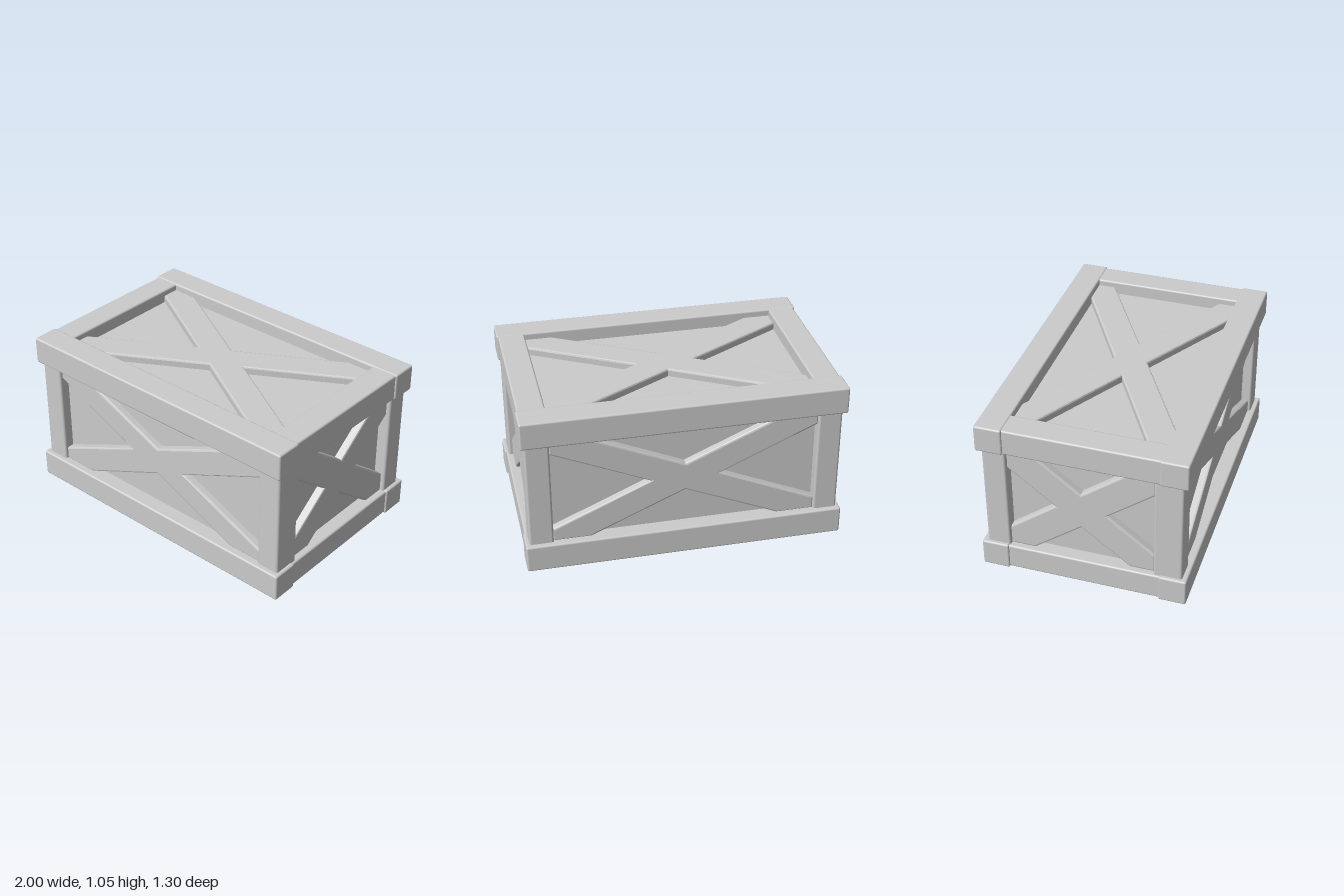
import * as THREE from 'three';
import { RoundedBoxGeometry } from 'three/addons/geometries/RoundedBoxGeometry.js';

const material = new THREE.MeshStandardMaterial({ color: 0xcccccc });
const H = 1.05, MID = H / 2;

// Softly rounded beam given by its minimum and maximum corners
function beam(name, min, max, radius = 0.012) {
  const size = max.map((v, i) => v - min[i]);
  const mesh = new THREE.Mesh(new RoundedBoxGeometry(...size, 2, radius), material);
  mesh.position.set(...max.map((v, i) => (v + min[i]) / 2));
  mesh.name = name;
  return mesh;
}

// X-shaped brace: w, h = half size of its frame; a, b = half width and height of the crossing
function crossBrace(name, w, h, a, b) {
  const bevel = 0.012, depth = 0.07;
  const c = (h - b) * a / b, d = (w - a) * b / a;
  const quarter = [[a, 0], [w, d], [w, h], [c, h]];
  const points = [];
  quarter.forEach(([x, y]) => points.push([x, y]));
  points.push([0, b]);
  [...quarter].reverse().forEach(([x, y]) => points.push([-x, y]));
  quarter.slice(1).forEach(([x, y]) => points.push([-x, -y]));
  points.push([0, -b]);
  quarter.slice(1).reverse().forEach(([x, y]) => points.push([x, -y]));
  const shape = new THREE.Shape(points.map(([x, y]) => new THREE.Vector2(x, y)));
  const geometry = new THREE.ExtrudeGeometry(shape, {
    depth: depth - bevel, bevelEnabled: true, bevelThickness: bevel,
    bevelSize: bevel, bevelOffset: -bevel, bevelSegments: 2,
  });
  geometry.translate(0, 0, -depth + bevel - bevel); // outer bevel ends at z = 0
  const mesh = new THREE.Mesh(geometry, material);
  mesh.name = name;
  return mesh;
}

export function createModel() {
  const crate = new THREE.Group();
  crate.name = 'crate';

  // Recessed panels form one inner box
  const panels = new THREE.Mesh(new THREE.BoxGeometry(1.8, 0.87, 1.1), material);
  panels.position.y = MID;
  panels.name = 'panels';
  crate.add(panels);

  // Long and short rails, bottom and top
  for (const top of [false, true]) {
    const level = top ? 'top' : 'bottom';
    const y0 = top ? H - 0.175 : 0, y1 = top ? H : 0.178;
    for (const s of [-1, 1]) {
      const z = [s * 0.477, s * 0.65].sort((p, q) => p - q);
      crate.add(beam(level + (s > 0 ? 'Front' : 'Back') + 'Rail', [-1, y0, z[0]], [1, y1, z[1]]));
      const x = [s * 0.82, s * 0.99].sort((p, q) => p - q);
      crate.add(beam(level + (s > 0 ? 'Left' : 'Right') + 'Rail',
        [x[0], y0 + (top ? 0 : 0.006), -0.49], [x[1], y1 - (top ? 0.004 : 0.005), 0.49]));
    }
  }

  // Corner posts, set back from the rails
  for (const sx of [-1, 1]) {
    const x = [sx * 0.825, sx * 0.976].sort((p, q) => p - q);
    const side = sx > 0 ? 'Left' : 'Right';
    crate.add(beam('front' + side + 'Post', [x[0], 0.15, 0.44], [x[1], 0.9, 0.618], 0.015));
    crate.add(beam('back' + side + 'Post', [x[0], 0.15, -0.618], [x[1], 0.9, -0.47], 0.015));
  }

  // Cross braces on all six faces
  for (const s of [-1, 1]) {
    const wall = crossBrace(s > 0 ? 'frontBrace' : 'backBrace', 0.83, 0.355, 0.215, 0.094);
    wall.position.set(0, MID, s * 0.6);
    wall.rotation.y = s > 0 ? 0 : Math.PI;

    const end = crossBrace(s > 0 ? 'leftBrace' : 'rightBrace', 0.46, 0.355, 0.163, 0.125);
    end.position.set(s * 0.95, MID, -0.017);
    end.rotation.y = s * Math.PI / 2;

    const lid = crossBrace(s > 0 ? 'topBrace' : 'bottomBrace', 0.823, 0.48, 0.19, 0.109);
    lid.position.set(0, MID + s * 0.485, 0);
    lid.rotation.x = -s * Math.PI / 2;

    crate.add(wall, end, lid);
  }
  return crate;
}
